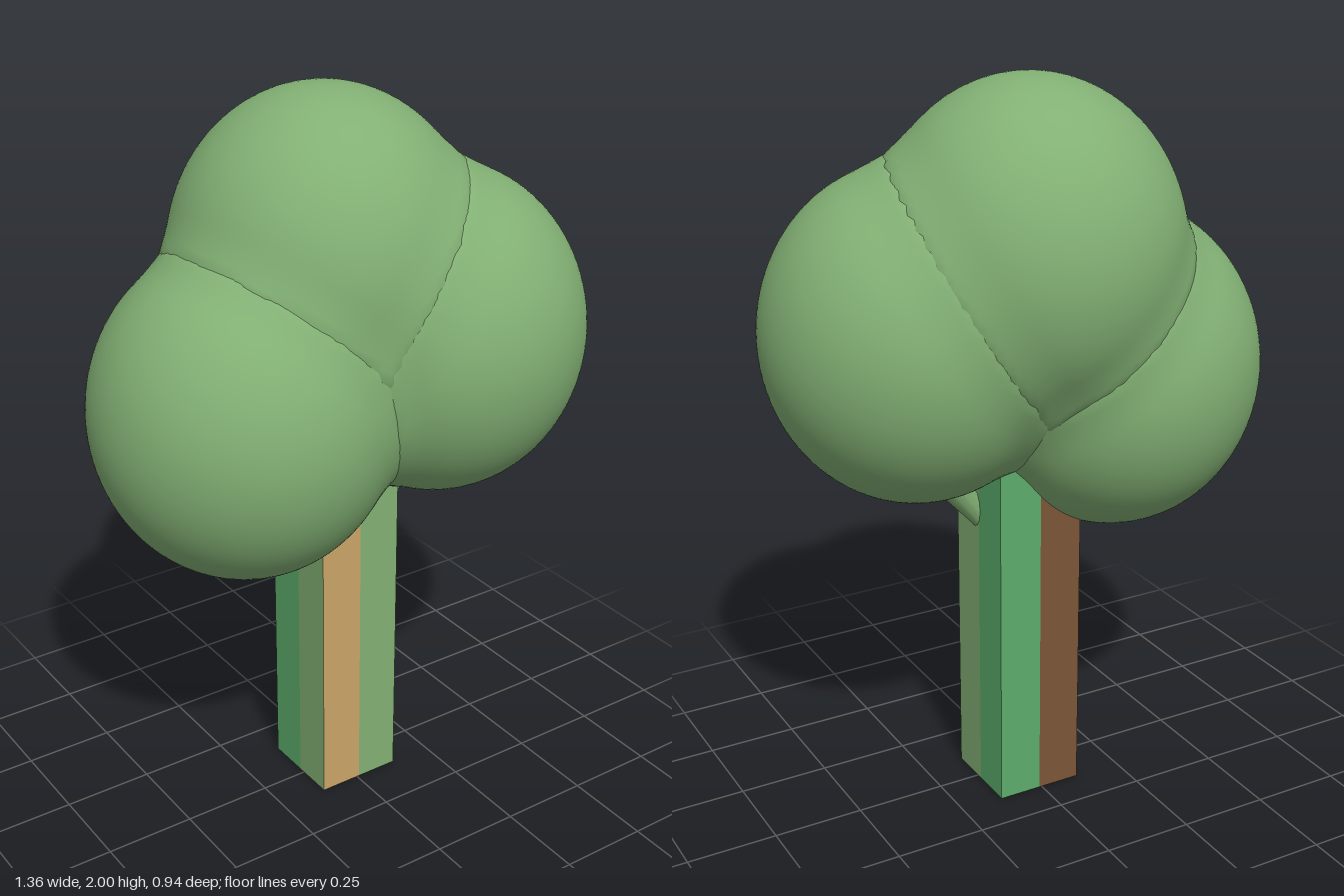
import * as THREE from 'three';
import { mergeVertices } from 'three/addons/utils/BufferGeometryUtils.js';

const paint = (name, color) => {
  const m = new THREE.MeshStandardMaterial({ color });
  m.name = name;
  return m;
};

export function createModel() {
  const tree = new THREE.Group();
  tree.name = 'tree';
  const leaf = paint('leafGreen', 0x82b074);
  const green = paint('emeraldGreen', 0x5cac6b);
  const tan = paint('tan', 0xcaa568);
  const brown = paint('brown', 0x7c5539);
  const blue = paint('greyBlue', 0x6c9ba5);

  const add = (name, geometry, material) => {
    const mesh = new THREE.Mesh(geometry, material);
    mesh.name = name;
    tree.add(mesh);
    return mesh;
  };

  // Square trunk, each side split into two painted strips
  const height = 1.04;
  const box = new THREE.BoxGeometry(0.245, height, 0.245, 2, 1, 2);
  box.translate(0.007, height / 2, -0.018);
  const colours = [leaf, green, tan, brown, blue];
  const quads = [
    leaf, green, // +x side, front to back
    green, leaf, // -x side, back to front
    leaf, leaf, leaf, leaf, // hidden top
    blue, blue, blue, brown, // underside
    tan, leaf, // front
    green, brown, // back
  ];
  box.clearGroups();
  quads.forEach((m, i) => box.addGroup(i * 6, 6, colours.indexOf(m)));
  add('trunk', box, colours);

  // Three egg-shaped leaf clumps that flow softly into one another
  const radii = new THREE.Vector3(0.407, 0.447, 0.407);
  const clumps = [
    ['topFoliage', new THREE.Vector3(0, 1.553, -0.062)],
    ['leftFoliage', new THREE.Vector3(0.27, 1.335, 0.06)],
    ['rightFoliage', new THREE.Vector3(-0.272, 1.195, -0.025)],
  ];
  const blend = 0.09;
  for (const [name, centre] of clumps) {
    let ball = new THREE.IcosahedronGeometry(1, 18);
    ball.deleteAttribute('uv');
    ball.deleteAttribute('normal');
    ball = mergeVertices(ball);
    const pos = ball.attributes.position;
    const p = new THREE.Vector3();
    const dir = new THREE.Vector3();
    for (let i = 0; i < pos.count; i++) {
      dir.fromBufferAttribute(pos, i);
      p.copy(dir).multiply(radii).add(centre);
      let swell = 0;
      for (const [, other] of clumps) {
        if (other === centre) continue;
        const gap = (p.clone().sub(other).divide(radii).length() - 1) * 0.42;
        swell += Math.max(blend - Math.abs(gap), 0) ** 2 / (4 * blend);
      }
      p.addScaledVector(dir, swell);
      pos.setXYZ(i, p.x, p.y, p.z);
    }
    ball.computeVertexNormals();
    add(name, ball, leaf);
  }

  // Short branches flaring from the trunk into the clumps
  const branch = (name, from, to, r0, r1) => {
    const a = new THREE.Vector3(...from);
    const axis = new THREE.Vector3(...to).sub(a);
    const length = axis.length();
    const stub = add(name, new THREE.CylinderGeometry(r1, r0, length, 12), leaf);
    stub.position.copy(a).addScaledVector(axis, 0.5);
    stub.quaternion.setFromUnitVectors(new THREE.Vector3(0, 1, 0), axis.normalize());
  };
  branch('leftBranch', [0.1, 0.79, 0.005], [0.22, 0.95, 0.01], 0.027, 0.048);
  branch('rightBranch', [-0.09, 0.78, -0.005], [-0.2, 0.85, -0.01], 0.025, 0.04);

  return tree;
}
